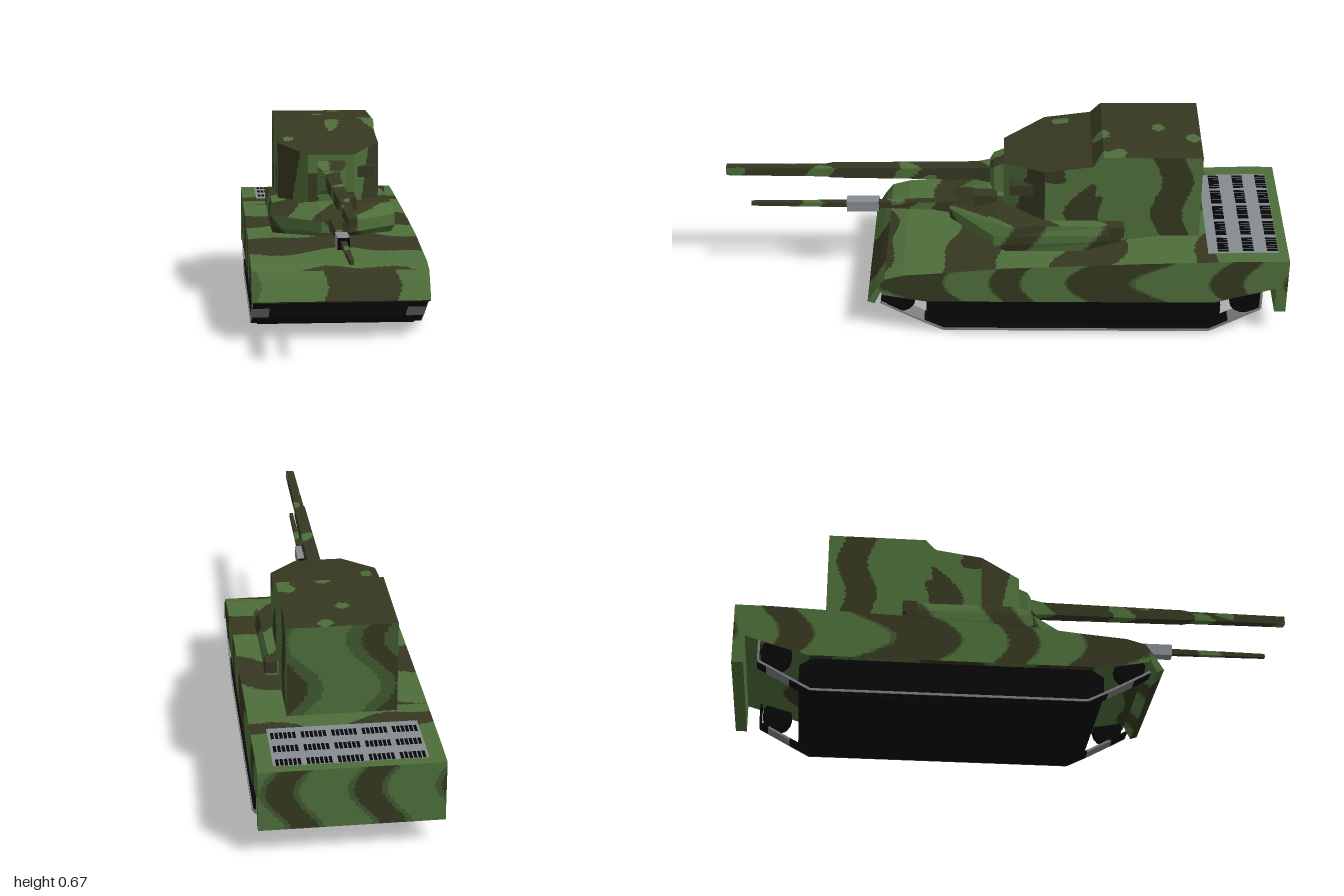
import * as THREE from 'three';

const mat = (name, color) => {
  const m = new THREE.MeshStandardMaterial({ color });
  m.name = name;
  return m;
};

// Convex loft through rings of [x, y, z] points, capped at both ends
function loft(rings) {
  const n = rings[0].length, p = [];
  const tri = (a, b, c) => p.push([a, b, c]);
  for (let r = 0; r + 1 < rings.length; r++) {
    for (let i = 0; i < n; i++) {
      const j = (i + 1) % n, [A, B] = [rings[r], rings[r + 1]];
      tri(A[i], A[j], B[j]);
      tri(A[i], B[j], B[i]);
    }
  }
  const last = rings[rings.length - 1];
  for (let i = 1; i + 1 < n; i++) {
    tri(rings[0][0], rings[0][i + 1], rings[0][i]);
    tri(last[0], last[i], last[i + 1]);
  }
  // Turn the faces outward if the enclosed volume comes out negative
  let vol = 0;
  const V = (a) => new THREE.Vector3(...a);
  for (const [a, b, c] of p) vol += V(a).dot(V(b).cross(V(c)));
  if (vol < 0) p.forEach((t) => t.reverse());
  const g = new THREE.BufferGeometry();
  g.setAttribute('position', new THREE.Float32BufferAttribute(p.flat(2), 3));
  g.computeVertexNormals();
  return g;
}

// Side profile of [z, y] points extruded across the width
function prism(profile, width) {
  const s = new THREE.Shape(profile.map(([z, y]) => new THREE.Vector2(z, y)));
  const g = new THREE.ExtrudeGeometry(s, { depth: width, bevelEnabled: false });
  return g.rotateY(-Math.PI / 2).translate(width / 2, 0, 0);
}

const box = (x0, x1, y0, y1, z0, z1) => new THREE.BoxGeometry(x1 - x0, y1 - y0, z1 - z0)
  .translate((x0 + x1) / 2, (y0 + y1) / 2, (z0 + z1) / 2);

// Square-section barrel through [z, halfSize] stations
const barrel = (cx, cy, stations) => loft(stations.map(([z, h]) =>
  [[cx - h, cy - h, z], [cx + h, cy - h, z], [cx + h, cy + h, z], [cx - h, cy + h, z]]));

// Camouflage patterns: 0 green, 1 mid green, 2 olive
const { sin, abs } = Math;
const pick = (v, m = -0.1, d = 0.05) => (v > d ? 0 : v > m ? 1 : 2);
const inSpot = (a, b, spots) => spots.some(([u, v, r, s]) =>
  ((a - u) / r) ** 2 + ((b - v) / s) ** 2 < 1 + 0.3 * sin(a * 70 + b * 40));
const hullCamo = (p, n) => {
  const wave = sin(p.x * 9 + 1) * 0.8 + sin(p.x * 21 + p.z * 8) * 0.4;
  if (abs(n.x) > 0.7) return pick(sin(p.z * 17 + 1.6 * sin(p.y * 17 + 1) + 1.2 * sin(p.z * 7)) + 0.15);
  if (n.z < -0.7) return pick(sin(p.x * 22 + 0.5 + sin(p.y * 20)) + 0.2, -0.35);
  if (n.z > 0.5 && p.z > 0) {
    const x = p.x + 0.008 * sin(p.y * 60);
    return x < -0.28 ? 1 : x > -0.05 && x < 0.2 ? 2 : 0;
  }
  return pick(sin((p.z - 0.22) * 15 + wave * 0.8) + (p.z < -0.6 ? 0.8 : 0), 0, 0);
};
const housingCamo = (p, n) => {
  // Roof and its step: olive with a few green spots
  if (n.y > 0.6) {
    return inSpot(p.x, p.z, [[0.018, -0.34, 0.028, 0.03], [0.17, -0.36, 0.03, 0.05], [0.05, -0.66, 0.025, 0.025],
      [-0.02, -0.54, 0.025, 0.02], [0.14, -0.4, 0.025, 0.025], [-0.15, -0.2, 0.02, 0.03]]) ? 0 : 2;
  }
  if (n.z < -0.6) return pick(sin(p.x * 17 + 1.2 + sin(p.y * 18)) + 0.55, -0.25, 0.5);
  if (n.z > 0.9) return p.x < -0.052 && p.y < 0.51 || p.x > 0.03 && p.y < 0.44 ? 2 : 0;
  // Tapered cheeks: a green band beside the front plate
  if (p.z > -0.14) return abs(p.x) < 0.125 + (p.y - 0.5) * 0.15 * Math.sign(p.x) ? 0 : 2;
  const z = p.z + 0.018 * sin(p.y * 25);
  if (z > -0.64 && z < -0.53) return 2;
  return inSpot(z, p.y, [[-0.29, 0.42, 0.06, 0.12], [-0.16, 0.6, 0.04, 0.05]]) ? 2 : 0;
};
const baseCamo = (p, n) => {
  if (n.y > 0.6) return pick(sin(p.x * 22 + p.z * 18 + 2), 0, 0);
  if (abs(n.x) > 0.8) return pick(sin(p.z * 20 + p.y * 14 + 1) + 0.4);
  return pick(sin(p.x * 23 + 4 + sin(p.y * 19)) + 0.45);
};
const gunCamo = (p, n) => (n.z < 0.7
  && sin(p.z * 19 + p.x * 40 + 1) + 0.5 * sin(p.z * 43 + p.y * 60) > (n.y > 0.7 ? 0.9 : 0.6) ? 0 : 2);
const plain = (k) => () => k;

// Splits faces into small triangles and sorts them into colour groups
function paint(geometry, pattern, maxEdge = 0.017) {
  const src = geometry.index ? geometry.toNonIndexed() : geometry;
  const pos = src.attributes.position, buckets = [[], [], []];
  const n = new THREE.Vector3();
  const split = (a, b, c) => {
    const e = [a.distanceTo(b), b.distanceTo(c), c.distanceTo(a)];
    const longest = Math.max(...e);
    if (longest < maxEdge) {
      const mid = a.clone().add(b).add(c).divideScalar(3);
      for (const v of [a, b, c]) buckets[pattern(mid, n)].push(v.x, v.y, v.z);
      return;
    }
    if (e[1] === longest) [a, b, c] = [b, c, a];
    else if (e[2] === longest) [a, b, c] = [c, a, b];
    const m = a.clone().lerp(b, 0.5);
    split(a, m, c);
    split(m, b, c);
  };
  for (let i = 0; i < pos.count; i += 3) {
    const [a, b, c] = [0, 1, 2].map((k) => new THREE.Vector3().fromBufferAttribute(pos, i + k));
    n.copy(b).sub(a).cross(c.clone().sub(a)).normalize();
    split(a, b, c);
  }
  const g = new THREE.BufferGeometry();
  let start = 0;
  buckets.forEach((b, k) => {
    g.addGroup(start, b.length / 3, k);
    start += b.length / 3;
  });
  g.setAttribute('position', new THREE.Float32BufferAttribute(buckets.flat(), 3));
  g.computeVertexNormals();
  return g;
}

export function createModel() {
  const group = new THREE.Group();
  const camo = [mat('green', 0x4e6e3a), mat('midGreen', 0x40592f), mat('olive', 0x363821)];
  const black = mat('black', 0x070707);
  const steel = mat('steel', 0x868c91);
  const trackGrey = mat('trackGrey', 0x7c8082);
  const add = (name, geo, material) => {
    const m = new THREE.Mesh(geo, material);
    m.name = name;
    group.add(m);
    return m;
  };

  // Hull with side skirts and the rear plate
  add('hull', paint(prism([[0.435, 0.165], [0.45, 0.2], [0.425, 0.232], [0.36, 0.25], [0.2, 0.263],
    [0, 0.283], [-0.5, 0.305], [-0.88, 0.317], [-1, 0.317], [-1, 0.1], [-0.96, 0.1], [-0.96, 0.2],
    [-0.74, 0.137], [0.28, 0.137]], 0.612), hullCamo), camo);
  add('frontFlap', paint(prism([[0.45, 0.2], [0.43, 0.2], [0.463, 0.128], [0.488, 0.137]], 0.612), hullCamo), camo);

  // Lower hull
  add('belly', prism([[0.28, 0.04], [0.28, 0.11], [0.23, 0.14], [-0.72, 0.14], [-0.77, 0.11],
    [-0.77, 0.05], [-0.7, 0], [0.2, 0]], 0.56), black);

  // Running gear on both sides: black track, grey wear strips on the ramps and outer edge
  const path = [[0.44, 0.13], [0.382, 0.097], [0.29, 0.047], [0.22, 0.012], [-0.73, 0.012],
    [-0.8, 0.05], [-0.88, 0.094], [-0.91, 0.11], [-0.91, 0.19]];
  for (const s of [1, -1]) {
    for (let i = 0; i + 1 < path.length; i++) {
      const [[z0, y0], [z1, y1]] = [path[i], path[i + 1]];
      const strip = (name, x, width, material) => {
        const t = add(name, new THREE.BoxGeometry(width, 0.008, Math.hypot(z1 - z0, y1 - y0)), material);
        t.position.set(s * x, (y0 + y1) / 2, (z0 + z1) / 2);
        t.rotation.x = -Math.atan2(y1 - y0, z1 - z0);
      };
      strip('track', 0.271, 0.058, i === 1 || i === 5 ? trackGrey : black);
      strip('trackEdge', 0.302, 0.004, trackGrey);
    }
    for (const [z, y] of [[0.37, 0.145], [-0.85, 0.145]]) {
      const w = add('wheel', new THREE.CylinderGeometry(0.053, 0.053, 0.06, 14), black);
      w.rotation.z = Math.PI / 2;
      w.position.set(s * 0.272, y, z);
    }
  }

  // Engine grille following the deck, with rows of dark slots
  add('engineGrille', prism([[-0.718, 0.308], [-0.718, 0.3135], [-0.88, 0.3185], [-0.965, 0.3185],
    [-0.965, 0.308]], 0.504), steel);
  for (const [z, y] of [[-0.945, 0.3185], [-0.86, 0.318], [-0.772, 0.3155]]) {
    for (let i = 0; i < 34; i++) {
      if (i % 7 === 6) continue;
      const x = -0.238 + i * 0.0144;
      add('grilleSlot', box(x - 0.005, x + 0.005, y - 0.004, y + 0.0015, z - 0.019, z + 0.019), black);
    }
  }

  // Low turret ring with a pointed nose
  const layer = (rows) => [...rows, ...rows.map(([x, y, z]) => [-x, y, z]).reverse()];
  add('turretBase', paint(loft([
    layer([[0.05, 0.3, 0.12], [0.215, 0.295, 0], [0.215, 0.295, -0.27]]),
    layer([[0.05, 0.325, 0.2], [0.225, 0.325, 0.04], [0.225, 0.345, -0.41]]),
    layer([[0.05, 0.365, 0.2], [0.225, 0.365, 0.04], [0.225, 0.365, -0.41]]),
    layer([[0.05, 0.412, 0.06], [0.218, 0.4, 0], [0.21, 0.4, -0.41]]),
  ]), baseCamo), camo);
  for (const s of [1, -1]) {
    add('sideBox', paint(box(s * 0.206 - 0.02, s * 0.206 + 0.02, 0.36, 0.401, -0.42, -0.37), plain(2)), camo);
  }

  // Tall turret housing
  const section = ([z, x0, x1, y0, y1]) => [[x0, y0, z], [x1, y0, z], [x1, y1, z], [x0, y1, z]];
  add('turretHousing', paint(loft([
    [0.005, -0.087, 0.08, 0.395, 0.578], [-0.14, -0.189, 0.18, 0.32, 0.604],
    [-0.305, -0.189, 0.18, 0.3, 0.627], [-0.342, -0.189, 0.18, 0.308, 0.665],
    [-0.55, -0.189, 0.18, 0.34, 0.665], [-0.688, -0.189, 0.18, 0.34, 0.665],
  ].map(section)), housingCamo), camo);

  // Sights
  add('sightBox', paint(box(0.092, 0.155, 0.492, 0.531, -0.1, -0.015), plain(2)), camo);
  add('lowerSight', paint(box(0.03, 0.08, 0.39, 0.437, 0.03, 0.11), plain(2)), camo);

  // Main gun with its mantlet
  add('mantlet', paint(loft([
    [0, -0.053, 0.047, 0.433, 0.558], [0.04, -0.053, 0.047, 0.44, 0.54], [0.055, -0.035, 0.03, 0.458, 0.525],
  ].map(section)), (p, n) => (n.y > 0.5 && p.x > -0.01 ? 2 : 0)), camo);
  add('mainBarrel', paint(barrel(-0.004, 0.492, [[0.04, 0.03], [0.06, 0.03], [0.1, 0.024], [0.62, 0.02],
    [0.64, 0.017], [1, 0.015]]), gunCamo), camo);

  // Lower gun with its grey sleeve, dark at both ends
  add('lowerGunMount', paint(barrel(0, 0.35, [[0.15, 0.024], [0.2, 0.022], [0.25, 0.017]]), gunCamo), camo);
  add('lowerBarrel', paint(barrel(0, 0.35, [[0.2, 0.017], [0.46, 0.011], [0.92, 0.007]]), gunCamo), camo);
  add('barrelSleeve', box(-0.021, 0.021, 0.329, 0.371, 0.457, 0.573),
    [steel, steel, steel, steel, black, black]);

  return group;
}
